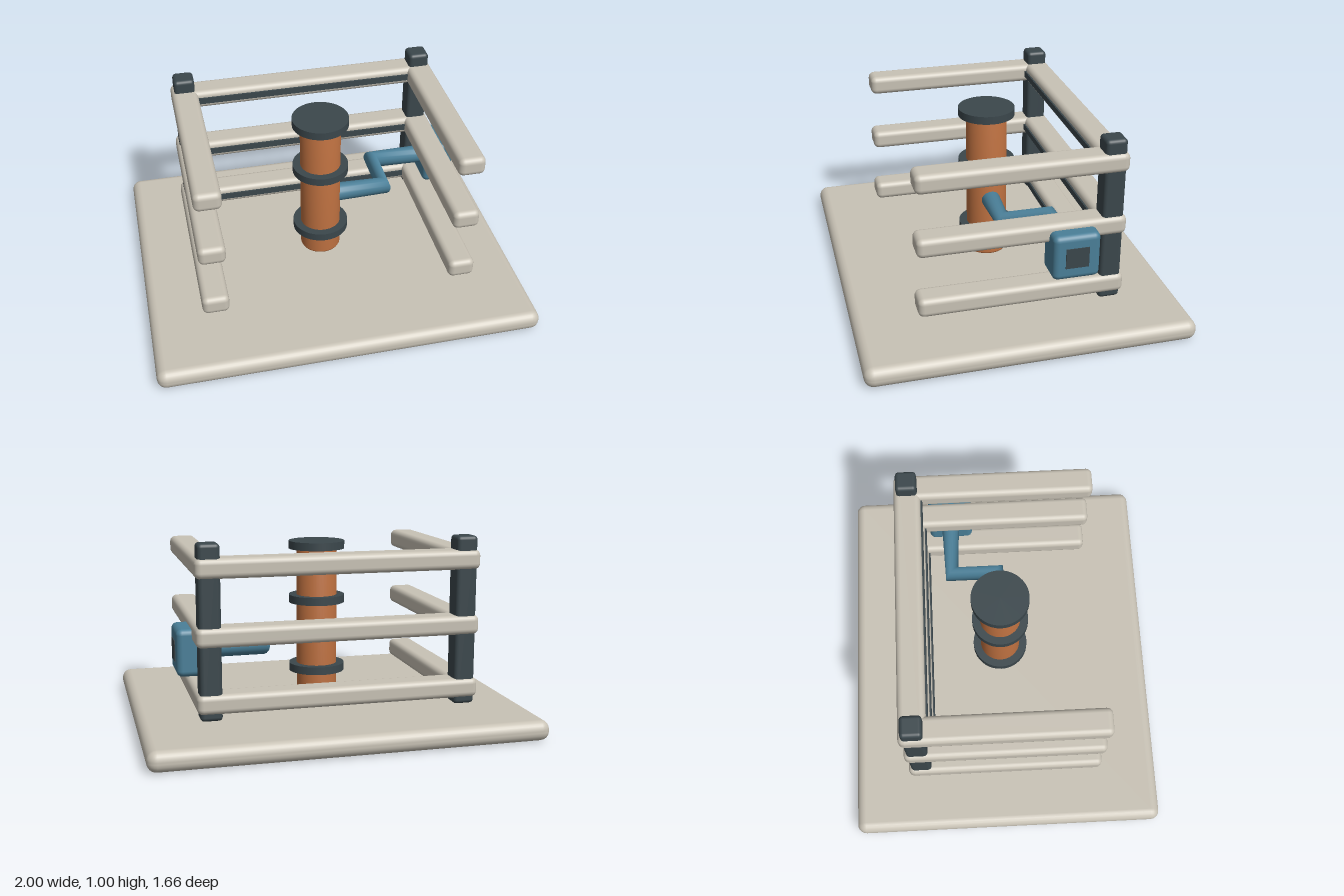
import * as THREE from 'three';
import { RoundedBoxGeometry } from 'three/addons/geometries/RoundedBoxGeometry.js';

const mat = (name, color) => {
  const m = new THREE.MeshStandardMaterial({ color });
  m.name = name;
  return m;
};

// Straight-sided path whose rings sit exactly on the corners, giving mitred bends
class MitredPath extends THREE.Curve {
  constructor(points) {
    super();
    this.points = points;
  }
  getPoint(t, target = new THREE.Vector3()) {
    const n = this.points.length - 1;
    const i = Math.min(Math.floor(t * n + 1e-6), n - 1);
    return target.lerpVectors(this.points[i], this.points[i + 1], t * n - i);
  }
  getPointAt(t, target) {
    return this.getPoint(t, target);
  }
  getTangentAt(t, target = new THREE.Vector3()) {
    const p = this.points, n = p.length - 1, i = Math.round(t * n);
    target.set(0, 0, 0);
    if (i > 0) target.add(p[i].clone().sub(p[i - 1]).normalize());
    if (i < n) target.add(p[i + 1].clone().sub(p[i]).normalize());
    return target.normalize();
  }
}

export function createModel() {
  const stone = mat('warm grey', 0xc8c2b5);
  const slate = mat('dark slate', 0x3b474c);
  const copper = mat('copper', 0xbd7040);
  const blue = mat('steel blue', 0x4a7f98);

  const model = new THREE.Group();
  model.name = 'fencedColumn';

  const add = (name, geometry, material, x = 0, y = 0, z = 0) => {
    const mesh = new THREE.Mesh(geometry, material);
    mesh.name = name;
    mesh.position.set(x, y, z);
    model.add(mesh);
    return mesh;
  };
  const block = (name, material, [w, h, d], [x, y, z], r) =>
    add(name, new RoundedBoxGeometry(w, h, d, 3, r), material, x, y, z);

  // Ground slab
  block('base', stone, [2, 0.105, 1.66], [0, 0.0525, 0], 0.048);

  // Rear posts
  for (const s of [-1, 1])
    block('post', slate, [0.11, 0.87, 0.11], [s * 0.655, 0.57, -0.46], 0.02);

  // Three levels of rails, each with a dark strip along the back rail
  for (const y of [0.885, 0.55, 0.22]) {
    block('backRail', stone, [1.45, 0.1, 0.14], [0, y, -0.46], 0.03);
    add('railStrip', new THREE.BoxGeometry(1.24, 0.034, 0.012), slate, 0, y, -0.387);
    for (const s of [-1, 1])
      block('sideRail', stone, [0.14, 0.1, 1.045], [s * 0.656, y, -0.003], 0.03);
  }

  // Column with softened ends
  const column = [[0, 0.115], [0.096, 0.115], [0.104, 0.119], [0.108, 0.128], [0.108, 0.93], [0, 0.93]]
    .map(([r, y]) => new THREE.Vector2(r, y));
  add('column', new THREE.LatheGeometry(column, 40), copper);

  // Cap and collars
  for (const [name, y] of [['cap', 0.925], ['collar', 0.635], ['collar', 0.26]])
    add(name, new THREE.CylinderGeometry(0.149, 0.149, 0.042, 40), slate, 0, y, 0);

  // Bent pipe from the column to the control box
  const path = [[0.09, 0], [0.353, 0], [0.353, -0.25], [0.7, -0.25]]
    .map(([x, z]) => new THREE.Vector3(x, 0.448, z));
  add('pipe', new THREE.TubeGeometry(new MitredPath(path), 3, 0.05, 20), blue);

  // Control box with its outer panel
  block('controlBox', blue, [0.17, 0.24, 0.24], [0.717, 0.448, -0.25], 0.03);
  add('controlPanel', new THREE.BoxGeometry(0.008, 0.107, 0.118), slate, 0.802, 0.449, -0.25);

  return model;
}
